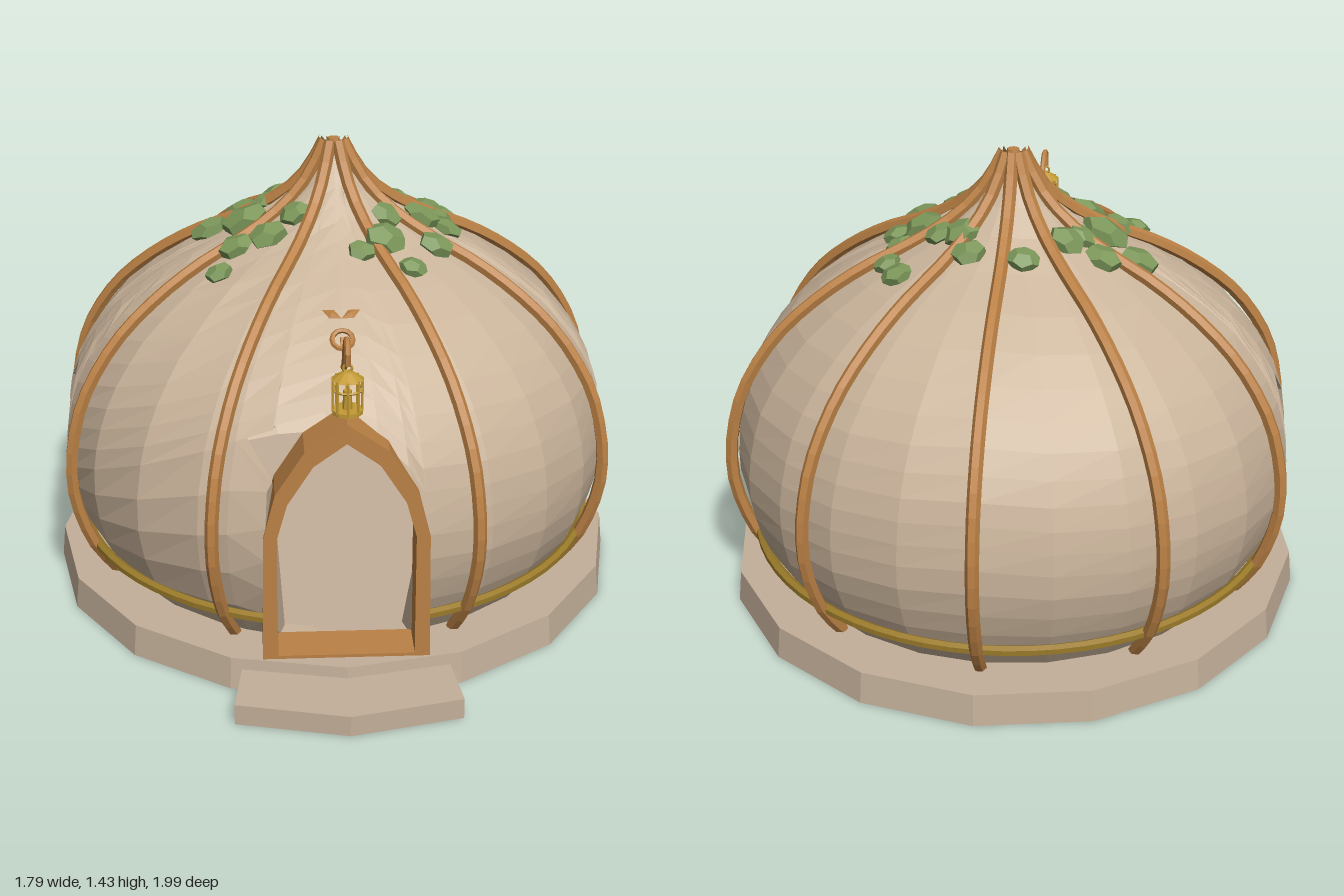
import * as THREE from 'three';

const CZ = -0.09; // z of the hut's axis
const PI = Math.PI;
const mat = (name, color, extra = {}) =>
  Object.assign(new THREE.MeshStandardMaterial({ color, flatShading: true, ...extra }), { name });

// wall radius by height: [y, r]
const PROFILE = [[0.08, 0.71], [0.2, 0.795], [0.3, 0.835], [0.4, 0.858], [0.5, 0.86], [0.6, 0.845], [0.7, 0.815],
  [0.8, 0.76], [0.9, 0.68], [1.0, 0.56], [1.08, 0.43], [1.14, 0.3], [1.2, 0.19], [1.28, 0.1], [1.36, 0.045], [1.42, 0.015]];

// openings as [angle, lower edge, upper edge]; angle 0 is the front
const DOOR = [[-0.41, 0.76, 0.76], [-0.275, 0.64, 0.8], [-0.27, 0.1, 0.81], [0, 0.1, 0.86], [0.12, 0.1, 0.78],
  [0.22, 0.1, 0.65], [0.27, 0.1, 0.5], [0.275, 0.5, 0.5]];
const WINDOW = [[-0.195, 0.41, 0.41], [-0.185, 0.41, 0.44], [-0.12, 0.405, 0.63], [-0.035, 0.4, 0.72],
  [0.05, 0.395, 0.63], [0.09, 0.39, 0.54], [0.105, 0.39, 0.41], [0.11, 0.39, 0.39]];
const EDGES = [[-PI, 0.5, 0.5], ...DOOR,
  ...WINDOW.map(([u, a, b]) => [PI / 2 + u, a, b]),
  ...WINDOW.map(([u, a, b]) => [-PI / 2 - u, a, b]), [PI, 0.5, 0.5]].sort((p, q) => p[0] - q[0]);

// piecewise-linear lookup in a table sorted by its first column
function lookup(table, x, k) {
  for (let i = 1; i < table.length; i++) {
    const a = table[i - 1], b = table[i];
    if (x <= b[0]) return a[k] + (b[k] - a[k]) * Math.max(0, (x - a[0]) / (b[0] - a[0]));
  }
  return table[table.length - 1][k];
}
const radiusAt = (y) => lookup(PROFILE, y, 1);
const BY_RADIUS = PROFILE.filter((p) => p[0] >= 0.6).map(([y, r]) => [r, y]).reverse();
const heightAt = (r) => lookup(BY_RADIUS, r, 1);
function onWall(u, y, offset = 0) {
  const r = Math.max(0.002, radiusAt(y) + offset);
  return new THREE.Vector3(r * Math.sin(u), y, CZ + r * Math.cos(u));
}

// hollow wall: a band below and a band above the openings, inside and out
function wallGeometry() {
  const cols = EDGES.map((e) => e[0]);
  for (let i = 0; i < 24; i++) {
    const u = -PI + (i * PI) / 12;
    if (cols.every((c) => Math.abs(c - u) > 0.05)) cols.push(u);
  }
  cols.sort((a, b) => a - b);
  const pos = [];
  const quad = (a, b, c, d) => [a, b, c, a, c, d].forEach((p) => pos.push(p.x, p.y, p.z));
  const mix = THREE.MathUtils.lerp;
  const THICK = -0.06, TOP = 1.41;
  for (let i = 1; i < cols.length; i++) {
    const u = cols[i - 1], v = cols[i];
    const lo = [lookup(EDGES, u, 1), lookup(EDGES, v, 1)];
    const hi = [lookup(EDGES, u, 2), lookup(EDGES, v, 2)];
    for (const [s, e, rows] of [[[0.1, 0.1], lo, 5], [hi, [TOP, TOP], 14]]) {
      if (s[0] === e[0] && s[1] === e[1]) continue;
      for (let j = 0; j < rows; j++) {
        const t = j / rows, w = (j + 1) / rows;
        const at = (o) => [onWall(u, mix(s[0], e[0], t), o), onWall(v, mix(s[1], e[1], t), o),
          onWall(v, mix(s[1], e[1], w), o), onWall(u, mix(s[0], e[0], w), o)];
        quad(...at(0));
        quad(...at(THICK).reverse());
      }
    }
    // reveals around each opening
    if (hi[0] > lo[0] || hi[1] > lo[1]) {
      quad(onWall(u, lo[0]), onWall(v, lo[1]), onWall(v, lo[1], THICK), onWall(u, lo[0], THICK));
      quad(onWall(u, hi[0], THICK), onWall(v, hi[1], THICK), onWall(v, hi[1]), onWall(u, hi[0]));
    }
  }
  const g = new THREE.BufferGeometry();
  g.setAttribute('position', new THREE.Float32BufferAttribute(pos, 3));
  g.computeVertexNormals();
  return g;
}

const tube = (pts, segs, r, sides) =>
  new THREE.TubeGeometry(new THREE.CatmullRomCurve3(pts), segs, r, sides, false);

export function createModel() {
  const root = new THREE.Group();
  root.name = 'gourdHut';
  const plaster = mat('plaster', 0xcbb59c, { side: THREE.DoubleSide });
  const stone = mat('stone', 0xc4b09a);
  const wood = mat('wood', 0xbb8145);
  const brass = mat('darkBrass', 0x9a7a2a);
  const gold = mat('lanternGold', 0xc39a35);
  const leaf = mat('leaf', 0x7b9659);
  const add = (name, geo, material, parent = root) => {
    const m = new THREE.Mesh(geo, material);
    m.name = name;
    parent.add(m);
    return m;
  };

  // sixteen-sided plinth and pointed doorstep
  add('plinth', new THREE.CylinderGeometry(0.885, 0.895, 0.1, 16), stone).position.set(0, 0.05, CZ);
  const step = new THREE.Shape([[-0.3, -0.68], [-0.33, -0.92], [0, -0.995], [0.33, -0.92], [0.3, -0.68]]
    .map(([x, y]) => new THREE.Vector2(x, y)));
  add('doorstep', new THREE.ExtrudeGeometry(step, { depth: 0.065, bevelEnabled: false }).rotateX(-PI / 2), stone);

  add('wall', wallGeometry(), plaster);

  // ribs running from plinth to tip
  for (const deg of [180, 144, -144, 108, -108, 68, -68, 26, -26]) {
    const pts = PROFILE.map(([y]) => onWall((deg * PI) / 180, Math.max(y, 0.1), y > 1.25 ? 0.014 : 0.022));
    add('rib', tube(pts, 26, 0.02, 6), wood);
  }
  add('tip', new THREE.CylinderGeometry(0.018, 0.03, 0.05, 8), wood).position.set(0, 1.4, CZ);

  // band around the foot, open at the door
  const band = [];
  for (let i = 0; i <= 40; i++) band.push(onWall(0.29 + (i / 40) * (2 * PI - 0.58), 0.205, 0.012));
  add('footBand', tube(band, 60, 0.016, 6), brass);

  // pointed door frame
  const half = (pts) => [...pts, ...pts.slice(0, -1).reverse().map(([x, y]) => [-x, y])];
  const outer = half([[0.245, 0.1], [0.24, 0.5], [0.205, 0.64], [0.12, 0.775], [0, 0.86]]);
  const inner = half([[0.2, 0.11], [0.2, 0.5], [0.17, 0.61], [0.095, 0.73], [0, 0.8]]);
  const frame = new THREE.Shape(outer.map(([x, y]) => new THREE.Vector2(x, y)));
  frame.holes.push(new THREE.Path(inner.map(([x, y]) => new THREE.Vector2(x, y))));
  add('doorFrame', new THREE.ExtrudeGeometry(frame, { depth: 0.13, bevelEnabled: false }), wood).position.z = 0.61;

  // leaves on the roof: [x, z, size]
  const leaves = [[-0.06, -0.33, 0.05], [0.1, -0.31, 0.055], [0.31, -0.33, 0.05], [0.35, -0.26, 0.045],
    [-0.28, -0.22, 0.06], [-0.17, -0.22, 0.06], [-0.38, -0.15, 0.065], [-0.27, -0.08, 0.08], [-0.21, -0.17, 0.05],
    [-0.3, 0.06, 0.06], [-0.2, 0.07, 0.065], [-0.12, 0.03, 0.05], [-0.35, 0.16, 0.045], [0.13, -0.23, 0.06],
    [0.2, -0.2, 0.05], [0.27, -0.09, 0.065], [0.35, -0.08, 0.05], [0.15, 0.02, 0.055], [0.14, 0.12, 0.07],
    [0.3, 0.07, 0.06], [0.22, 0.21, 0.045], [0.07, 0.18, 0.045], [0.33, -0.17, 0.045]];
  const up = new THREE.Vector3(0, 1, 0);
  leaves.forEach(([x, z, s], i) => {
    const r = Math.hypot(x, z - CZ);
    const slope = (heightAt(r - 0.04) - heightAt(r + 0.04)) / 0.08;
    const normal = new THREE.Vector3((x / r) * slope, 1, ((z - CZ) / r) * slope).normalize();
    const m = add('leaf', new THREE.DodecahedronGeometry(s, 0).rotateY(i * 1.7).scale(1, 0.5, 0.85), leaf);
    m.quaternion.setFromUnitVectors(up, normal);
    m.position.set(x, heightAt(r), z).addScaledVector(normal, 0.012);
  });

  // lantern arm with a coil and sprigs at its root
  const arm = [[1.0, 0.46], [0.945, 0.53], [0.965, 0.58], [1.05, 0.64], [1.105, 0.705], [1.095, 0.75], [1.045, 0.75]];
  add('lanternArm', tube(arm.map(([y, z]) => new THREE.Vector3(0, y, z)), 24, 0.009, 6), wood);
  const coil = add('armCoil', new THREE.TorusGeometry(0.03, 0.008, 5, 12), wood);
  coil.position.set(0, 1.0, 0.47);
  coil.rotation.x = -PI / 3.6;
  for (const s of [-1, 1]) {
    const sprig = add('armSprig', new THREE.OctahedronGeometry(0.032, 0).scale(1, 0.3, 0.5), wood);
    sprig.position.set(s * 0.028, 1.05, 0.4);
    sprig.rotation.set(0.6, s * 0.5, 0);
  }

  // caged lantern
  const lantern = new THREE.Group();
  lantern.name = 'lantern';
  lantern.position.set(0, 0, 0.745);
  root.add(lantern);
  add('lanternCap', new THREE.CylinderGeometry(0.014, 0.046, 0.022, 10), gold, lantern).position.y = 1.015;
  add('lanternBase', new THREE.CylinderGeometry(0.044, 0.044, 0.012, 10), gold, lantern).position.y = 0.908;
  add('lanternHook', new THREE.TorusGeometry(0.012, 0.004, 5, 10), gold, lantern).position.y = 1.036;
  add('lanternCore', new THREE.CylinderGeometry(0.012, 0.014, 0.06, 8), gold, lantern).position.y = 0.94;
  const hoop = add('lanternHoop', new THREE.TorusGeometry(0.041, 0.004, 5, 12).rotateX(PI / 2), gold, lantern);
  hoop.position.y = 0.975;
  for (let i = 0; i < 8; i++) {
    const a = (i * PI) / 4;
    add('lanternBar', new THREE.CylinderGeometry(0.004, 0.004, 0.1, 5), gold, lantern)
      .position.set(0.041 * Math.sin(a), 0.958, 0.041 * Math.cos(a));
  }
  return root;
}
